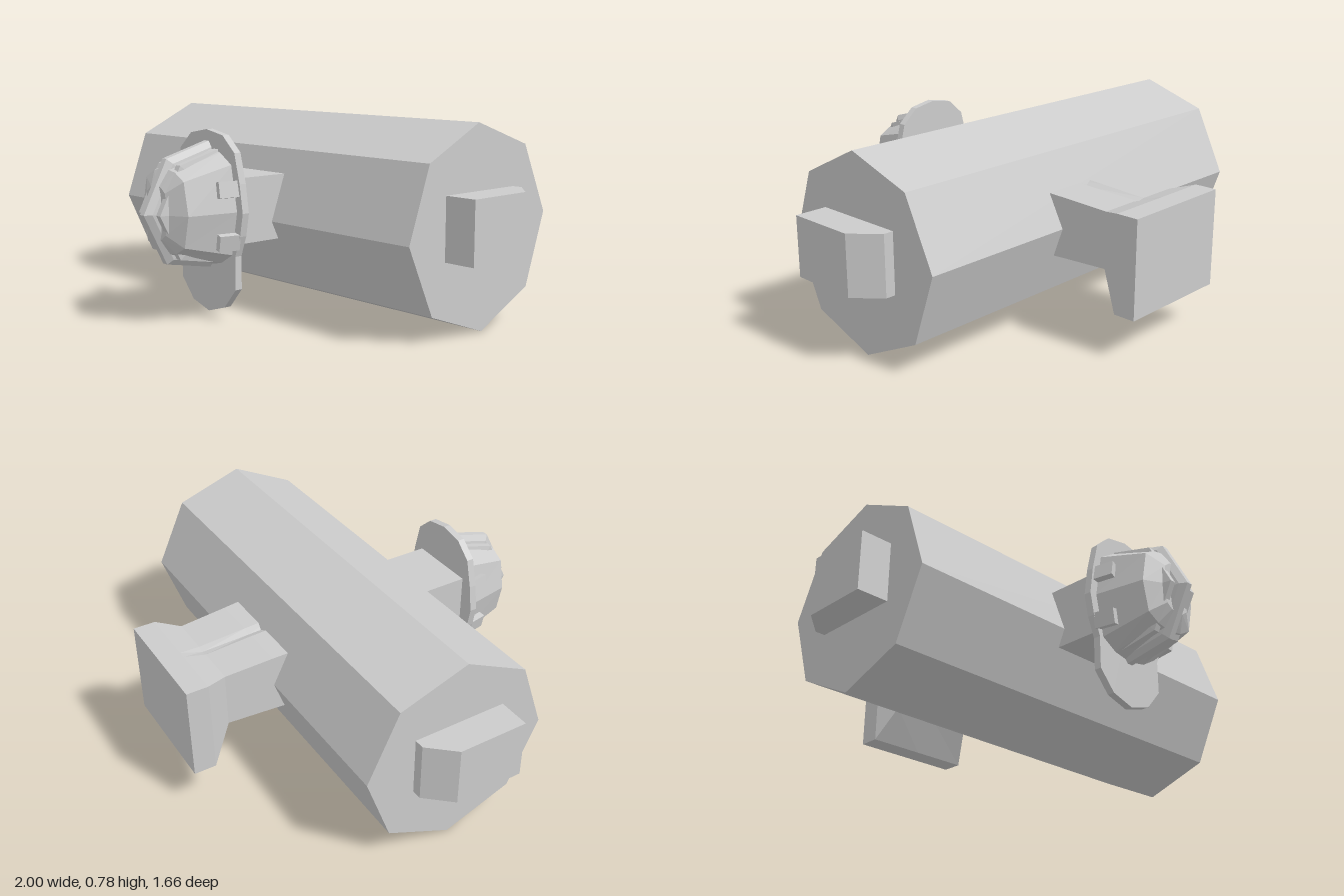
import * as THREE from 'three';

const material = new THREE.MeshStandardMaterial({ color: 0xcccccc, flatShading: true });

// Skin a row of equal-length point loops and cap both ends, facing outwards.
function loft(loops) {
  const pos = [];
  const n = loops[0].length;
  const tri = (a, b, c) => pos.push(...a, ...b, ...c);
  for (let i = 0; i < loops.length - 1; i++) {
    for (let j = 0; j < n; j++) {
      const k = (j + 1) % n, A = loops[i], B = loops[i + 1];
      tri(A[j], A[k], B[k]);
      tri(A[j], B[k], B[j]);
    }
  }
  const cap = (loop, flip) => {
    const mid = [0, 1, 2].map((d) => loop.reduce((s, p) => s + p[d], 0) / n);
    loop.forEach((p, j) => {
      const q = loop[(j + 1) % n];
      if (flip) tri(mid, q, p); else tri(mid, p, q);
    });
  };
  cap(loops[0], true);
  cap(loops[loops.length - 1], false);

  // Turn the winding round if the enclosed volume is negative.
  let volume = 0;
  const a = new THREE.Vector3(), b = new THREE.Vector3(), c = new THREE.Vector3();
  for (let i = 0; i < pos.length; i += 9) {
    a.fromArray(pos, i); b.fromArray(pos, i + 3); c.fromArray(pos, i + 6);
    volume += a.dot(b.cross(c));
  }
  if (volume < 0) {
    for (let i = 0; i < pos.length; i += 9) {
      for (let d = 0; d < 3; d++) [pos[i + 3 + d], pos[i + 6 + d]] = [pos[i + 6 + d], pos[i + 3 + d]];
    }
  }
  const geo = new THREE.BufferGeometry();
  geo.setAttribute('position', new THREE.Float32BufferAttribute(pos, 3));
  geo.computeVertexNormals();
  return geo;
}

// Mirror a right half outline (top to bottom, ends on the centre line) in x.
const mirrorOutline = (half) => [...half, ...half.slice(1, -1).reverse().map(([x, y]) => [-x, y])];

export function createModel() {
  const model = new THREE.Group();
  const add = (name, geo) => {
    const mesh = new THREE.Mesh(geo, material);
    mesh.name = name;
    model.add(mesh);
    return mesh;
  };

  // Eight-sided drum, outline as [z, y]
  const drum = [[-0.04, 0.78], [-0.32, 0.685], [-0.45, 0.415], [-0.35, 0.13],
    [-0.08, 0], [0.2, 0.1], [0.325, 0.37], [0.225, 0.65]];
  add('body', loft([-0.87, 0.87].map((x) => drum.map(([z, y]) => [x, y, z]))));

  // End lugs, chamfered towards the back, outline as [x, z]
  const lug = [[0.84, 0.135], [1, 0.135], [1, -0.15], [0.91, -0.25], [0.84, -0.25]];
  for (const s of [-1, 1]) {
    add(s > 0 ? 'leftLug' : 'rightLug',
      loft([0.29, 0.53].map((y) => lug.map(([x, z]) => [s * x, y, z]))));
  }

  // Neck between drum and front plate
  const neck = add('frontNeck', new THREE.BoxGeometry(0.295, 0.255, 0.3));
  neck.position.set(0, 0.427, 0.36);

  // Flat front plate
  const plate = mirrorOutline([[0, 0.735], [0.1, 0.717], [0.17, 0.655], [0.2, 0.54], [0.217, 0.43],
    [0.2, 0.34], [0.17, 0.26], [0.17, 0.13], [0.1, 0.05], [0, 0.02]]);
  add('frontPlate', loft([0.497, 0.527].map((z) => plate.map(([x, y]) => [x, y, z]))));

  // Faceted dome on the plate: [half width, top, bottom, z]
  const oct = mirrorOutline([[0, 1], [0.45, 0.93], [0.82, 0.75], [1, 0], [0.82, -0.75], [0.45, -0.93], [0, -1]]);
  const domeRings = [[0.185, 0.67, 0.205, 0.52], [0.147, 0.6, 0.27, 0.725], [0.07, 0.54, 0.33, 0.765]];
  add('dome', loft(domeRings.map(([w, top, bottom, z]) =>
    oct.map(([x, v]) => [x * w, 0.432 + (v > 0 ? v * (top - 0.432) : v * (0.432 - bottom)), z]))));

  // Upright ribs over the dome: profile [z, y] scaled across the width
  const rib = [[0, 0.26], [0.2, 0.203], [0.305, 0], [0.205, -0.197], [0, -0.235]];
  const halfFlutes = [[0, 1], [0.013, 1], [0.03, 0.91], [0.036, 0.8], [0.044, 0.89], [0.07, 0.89], [0.076, 0.78]];
  const flutes = [...halfFlutes.slice(1).reverse().map(([x, s]) => [-x, s]), ...halfFlutes];
  add('ribs', loft(flutes.map(([x, s]) => rib.map(([z, y]) => [x, 0.432 + y * s, 0.525 + z * s]))));

  // Four small clips along the dome sides
  for (const s of [-1, 1]) {
    for (const y of [0.52, 0.32]) {
      const clip = add('clip', new THREE.BoxGeometry(0.028, 0.062, 0.085));
      clip.position.set(s * 0.172, y, 0.56);
      clip.rotation.set(0, -s * 0.2, s * (y > 0.43 ? 0.2 : -0.2));
    }
  }

  // Flared rear mount with a shallow groove: [half width, top, bottom, z, groove]
  const mount = [[0.215, 0.552, 0.295, -0.3, 0.015], [0.205, 0.543, 0.3, -0.45, 0.012],
    [0.195, 0.53, 0.305, -0.65, 0.006], [0.245, 0.555, 0.165, -0.74, 0], [0.245, 0.555, 0.165, -0.83, 0]];
  add('rearMount', loft(mount.map(([w, t, b, z, g]) => [
    [-w, b, z], [0, b + g, z], [w, b, z], [w, t, z], [0.03, t, z], [0, t - g, z], [-0.03, t, z], [-w, t, z]])));

  return model;
}
